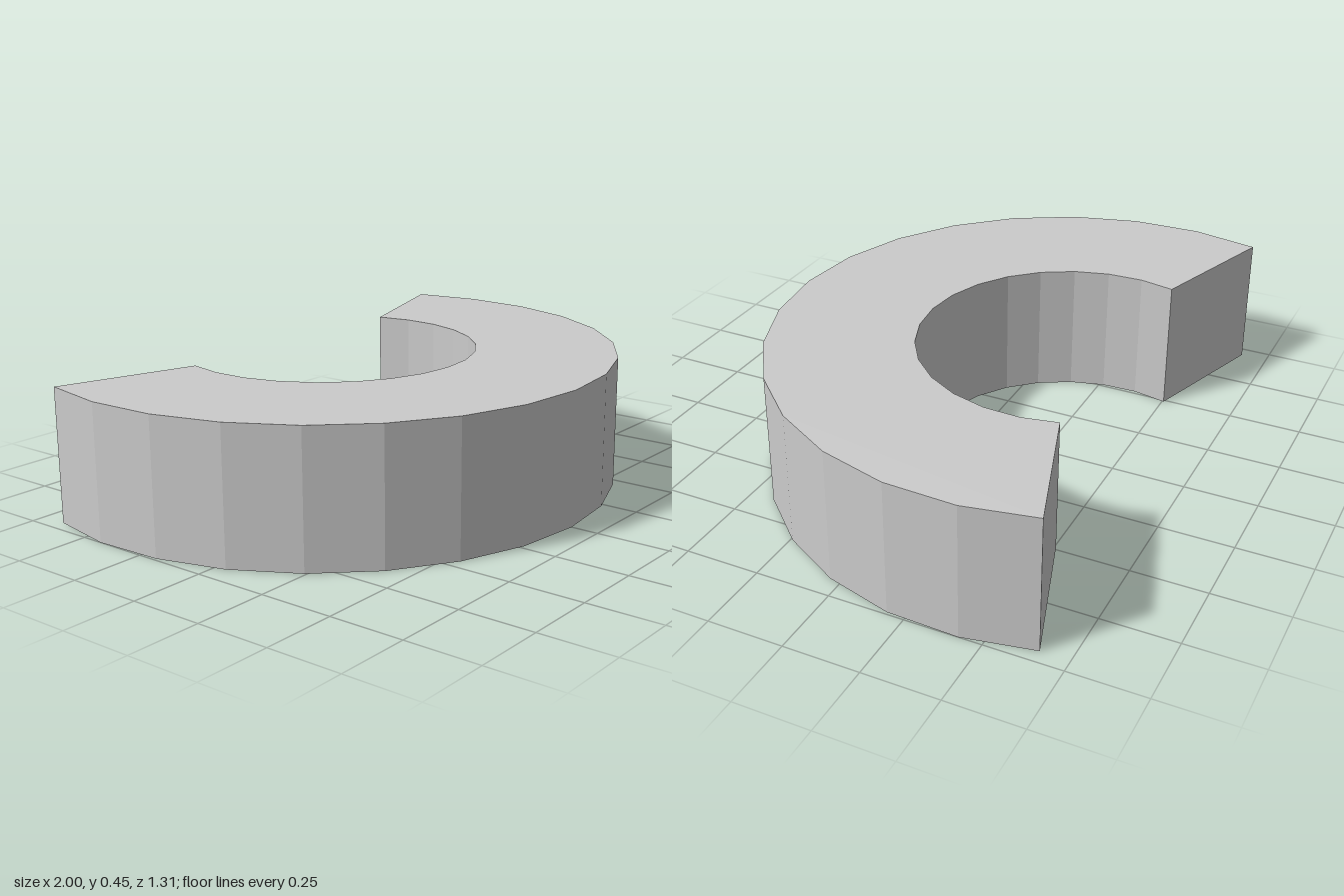
import * as THREE from 'three';

const OUTER = 1.003, INNER = 0.515, HEIGHT = 0.45;
const SEGMENTS = 16, SWEEP = THREE.MathUtils.degToRad(216);
const CENTRE_Z = -0.3465; // arc centre, so that the piece is centred on z = 0

// Points along a faceted arc, symmetric about the front
function arcPoints(radius) {
  return Array.from({ length: SEGMENTS + 1 }, (_, i) => {
    const a = (i / SEGMENTS - 0.5) * SWEEP;
    return new THREE.Vector2(radius * Math.sin(a), -radius * Math.cos(a));
  });
}

export function createModel() {
  const group = new THREE.Group();
  group.name = 'openRing';

  // Outer arc one way, inner arc back; the two straight ends close it
  const outline = new THREE.Shape([...arcPoints(OUTER), ...arcPoints(INNER).reverse()]);
  const geometry = new THREE.ExtrudeGeometry(outline, { depth: HEIGHT, bevelEnabled: false });
  geometry.rotateX(-Math.PI / 2);
  geometry.translate(0, 0, CENTRE_Z);

  const material = new THREE.MeshStandardMaterial({ color: 0xcccccc, flatShading: true });
  const ring = new THREE.Mesh(geometry, material);
  ring.name = 'ringSegment';
  group.add(ring);
  return group;
}
